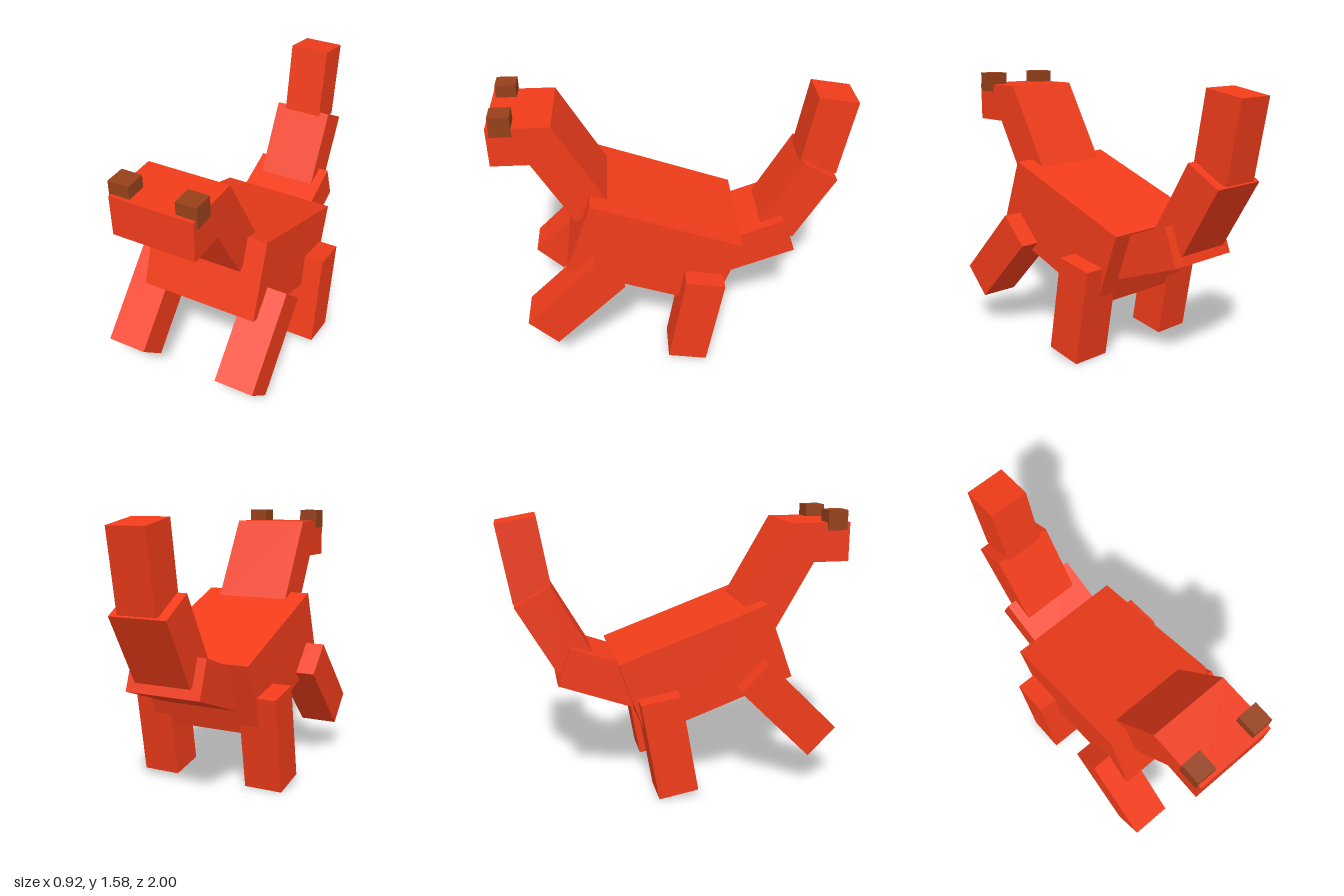
import * as THREE from 'three';

const red = new THREE.MeshStandardMaterial({ color: 0xf03c1a, flatShading: true });
const brown = new THREE.MeshStandardMaterial({ color: 0x964019, flatShading: true });

// Box of a given size, centred at (x, y, z) and pitched about the x axis in degrees
function block(name, size, position, pitch = 0, material = red) {
  const mesh = new THREE.Mesh(new THREE.BoxGeometry(...size), material);
  mesh.name = name;
  mesh.position.set(...position);
  mesh.rotation.x = THREE.MathUtils.degToRad(pitch);
  return mesh;
}

// Bent neck and head: side profile (z, y) extruded across x
function headAndNeck() {
  const width = 0.46;
  const profile = [[1, 1.29], [1, 1.515], [0.66, 1.515], [0.375, 1.02], [0.57, 0.905], [0.79, 1.29]];
  const shape = new THREE.Shape(profile.map(([z, y]) => new THREE.Vector2(z, y)));
  const geometry = new THREE.ExtrudeGeometry(shape, { depth: width, bevelEnabled: false });
  geometry.translate(0, 0, -width / 2).rotateY(-Math.PI / 2);
  const mesh = new THREE.Mesh(geometry, red);
  mesh.name = 'headAndNeck';
  return mesh;
}

export function createModel() {
  const model = new THREE.Group();
  model.name = 'animal';

  // Sloping body, head and neck
  model.add(block('body', [0.69, 0.458, 0.905], [0, 0.708, 0.135], -20));
  model.add(headAndNeck());

  // Tail in three narrowing segments
  model.add(block('tailBase', [0.46, 0.228, 0.45], [0, 0.666, -0.446], 20));
  model.add(block('tailMiddle', [0.345, 0.45, 0.23], [0, 0.943, -0.704], -30));
  model.add(block('tailTip', [0.23, 0.453, 0.228], [0, 1.333, -0.848], -10));

  // Mirrored legs and eyes
  for (const [side, s] of [['left', 1], ['right', -1]]) {
    model.add(block(side + 'FrontLeg', [0.23, 0.573, 0.228], [s * 0.345, 0.48, 0.592], -45));
    model.add(block(side + 'BackLeg', [0.23, 0.573, 0.228], [s * 0.345, 0.304, -0.1], -10));
    model.add(block(side + 'Eye', [0.115, 0.115, 0.115], [s * 0.183, 1.528, 0.922], 0, brown));
  }
  return model;
}
